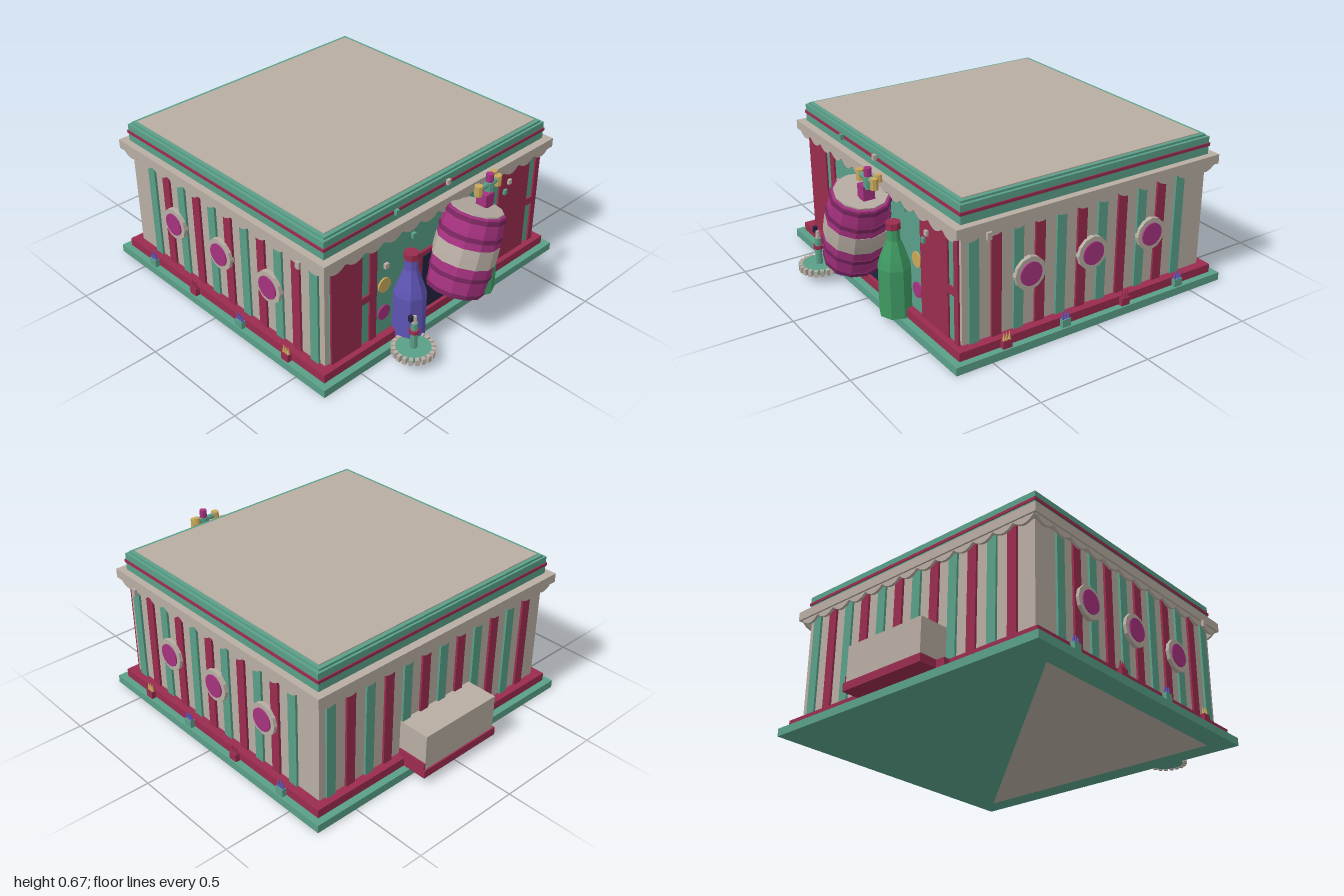
import * as THREE from 'three';

const mat = (name, color, side = THREE.FrontSide) => {
  const m = new THREE.MeshStandardMaterial({ color, side });
  m.name = name;
  return m;
};

export function createModel() {
  const root = new THREE.Group();
  root.name = 'stripedPavilion';
  const cream = mat('cream', 0xb8ada3), green = mat('seaGreen', 0x5a9f89), crimson = mat('crimson', 0x9a2c4e),
    magenta = mat('magenta', 0xa5327f), blue = mat('violetBlue', 0x5f55b5), glass = mat('bottleGreen', 0x3f9a62),
    gold = mat('gold', 0xc9a85a), navy = mat('navy', 0x23233f), plum = mat('plum', 0x7a2560);

  const add = (name, geo, m, x = 0, y = 0, z = 0, parent = root) => {
    const mesh = new THREE.Mesh(geo, m);
    mesh.name = name;
    mesh.position.set(x, y, z);
    parent.add(mesh);
    return mesh;
  };
  // box given by its limits
  const box = (name, m, x0, x1, y0, y1, z0, z1, parent = root) =>
    add(name, new THREE.BoxGeometry(x1 - x0, y1 - y0, z1 - z0), m, (x0 + x1) / 2, (y0 + y1) / 2, (z0 + z1) / 2, parent);
  const slab = (name, m, hx, hz, y0, y1) => box(name, m, -hx, hx, y0, y1, -hz, hz);
  const cyl = (rt, rb, h, n = 12) => {
    const g = new THREE.CylinderGeometry(rt, rb, h, n).toNonIndexed();
    g.computeVertexNormals();
    return g;
  };
  const lathe = (pts, n) => {
    const g = new THREE.LatheGeometry(pts.map(p => new THREE.Vector2(...p)), n).toNonIndexed();
    g.computeVertexNormals();
    return g;
  };

  // plinth, walls and stacked roof
  slab('plinth', green, 0.697, 0.663, 0, 0.035);
  slab('baseStep', crimson, 0.668, 0.632, 0.035, 0.072);
  slab('walls', cream, 0.628, 0.594, 0.072, 0.54);
  slab('cornice', cream, 0.665, 0.635, 0.538, 0.578);
  slab('parapet', green, 0.635, 0.6, 0.578, 0.655);
  slab('parapetBand', crimson, 0.639, 0.604, 0.614, 0.627);
  slab('roofRim', green, 0.622, 0.59, 0.655, 0.664);
  slab('roofDeck', cream, 0.605, 0.572, 0.664, 0.668);
  const under = new THREE.Shape([[0.6, -0.57], [-0.6, -0.57], [-0.6, 0.5]].map(p => new THREE.Vector2(...p)));
  const floor = add('underside', new THREE.ShapeGeometry(under), mat('creamUnderside', 0xb8ada3, THREE.DoubleSide), 0, -0.001, 0);
  floor.rotation.x = -Math.PI / 2;

  // scalloped valance under the cornice
  const scallops = (len) => {
    const n = Math.round(len / 0.1), w = len / n, s = new THREE.Shape();
    s.moveTo(-len / 2, 0);
    for (let i = 0; i < n; i++) {
      const x = -len / 2 + i * w;
      s.quadraticCurveTo(x + w / 2, -0.05, x + w, 0);
    }
    s.lineTo(len / 2, 0.008);
    s.lineTo(-len / 2, 0.008);
    return new THREE.ExtrudeGeometry(s, { depth: 0.012, bevelEnabled: false, curveSegments: 5 });
  };
  for (let i = 0; i < 4; i++) {
    const side = i % 2;
    const v = add('valance', scallops(side ? 1.24 : 1.3), cream);
    const a = i * Math.PI / 2, d = side ? 0.645 : 0.615;
    v.rotation.y = a;
    v.position.set(Math.sin(a) * d, 0.535, Math.cos(a) * d);
  }

  // raised stripes on the sides and back
  for (let i = 0; i < 12; i++) {
    const m = i % 2 ? crimson : green;
    if (i < 11) {
      const z = 0.545 - 0.1 * i;
      for (const s of [-1, 1])
        add('sideStripe', new THREE.BoxGeometry(0.02, 0.466, 0.044), m, s * 0.628, 0.305, z);
    }
    add('backStripe', new THREE.BoxGeometry(0.044, 0.466, 0.02), m, 0.575 - 0.1 * i, 0.305, -0.594);
  }

  // round medallions and small base ornaments on both sides
  for (const s of [-1, 1]) {
    for (const z of [-0.3, 0, 0.3]) {
      add('medallionRing', cyl(0.071, 0.071, 0.02), cream, s * 0.643, 0.302, z).rotation.z = Math.PI / 2;
      add('medallionFace', cyl(0.05, 0.05, 0.008, 16), magenta, s * 0.655, 0.302, z).rotation.z = Math.PI / 2;
    }
    [0.43, 0.15, -0.15, -0.435].forEach((z, i) => {
      add('ornamentBlock', new THREE.BoxGeometry(0.02, 0.034, 0.04), i % 2 ? green : crimson, s * 0.682, 0.054, z);
      for (const k of [-1, 0, 1])
        add('ornamentSpike', cyl(0.001, 0.007, 0.034, 6), [gold, blue, crimson, blue][i], s * 0.682, 0.086, z + k * 0.013);
    });
    add('corniceHook', new THREE.BoxGeometry(0.012, 0.03, 0.02), cream, s * 0.67, 0.523, 0.5);
  }

  // front facade
  box('frontWall', green, -0.606, 0.606, 0.072, 0.538, 0.59, 0.6);
  box('frontPanel', crimson, -0.606, -0.446, 0.072, 0.52, 0.6, 0.608);
  box('frontPost', crimson, -0.403, -0.366, 0.072, 0.535, 0.6, 0.608);
  box('frontRail', crimson, -0.446, -0.403, 0.272, 0.304, 0.6, 0.608);
  box('frontPanel', crimson, 0.357, 0.553, 0.072, 0.52, 0.6, 0.608);
  box('frontPost', crimson, 0.596, 0.624, 0.072, 0.535, 0.6, 0.608);
  box('frontRail', crimson, 0.553, 0.596, 0.272, 0.304, 0.6, 0.608);
  box('doorFrame', crimson, -0.135, 0.13, 0.072, 0.36, 0.6, 0.612);
  box('doorway', navy, -0.113, 0.108, 0.072, 0.34, 0.612, 0.616);
  for (const s of [-1, 1]) {
    add('upperDot', cyl(0.033, 0.033, 0.008, 16), gold, s * 0.32, 0.304, 0.603).rotation.x = Math.PI / 2;
    add('lowerDot', cyl(0.033, 0.033, 0.008, 16), magenta, s * 0.32, 0.17, 0.603).rotation.x = Math.PI / 2;
  }
  // scattered studs
  [[-0.32, 0.4, cream], [-0.17, 0.47, green], [0.255, 0.5, green], [0.415, 0.46, cream], [-0.21, 0.4, crimson],
    [0.02, 0.63, cream], [-0.27, 0.622, green], [0.39, 0.42, green]].forEach(([x, y, m]) =>
    add('stud', new THREE.BoxGeometry(0.018, 0.022, 0.014), m, x, y, 0.612));

  // rear bench
  box('benchBase', crimson, -0.21, 0.21, 0.035, 0.07, -0.742, -0.63);
  box('benchBody', cream, -0.2, 0.2, 0.07, 0.228, -0.735, -0.59);
  box('benchTrim', crimson, 0.2, 0.208, 0.07, 0.1, -0.735, -0.6);
  box('benchFoot', crimson, -0.25, -0.2, 0.035, 0.07, -0.66, -0.63);

  // bottles
  const bottle = (name, m, x, z, r) => {
    const g = new THREE.Group();
    g.name = name;
    g.position.set(x, 0.036, z);
    root.add(g);
    add('bottleGlass', lathe([[0, 0], [r, 0], [r, 0.21], [r * 0.85, 0.245], [0.028, 0.325], [0.026, 0.375], [0, 0.375]], 8), m, 0, 0, 0, g);
    add('bottleCap', cyl(0.031, 0.031, 0.028, 8), crimson, 0, 0.386, 0, g);
  };
  bottle('blueBottle', blue, -0.222, 0.65, 0.067);
  bottle('greenBottle', glass, 0.215, 0.645, 0.07);

  // tilted barrel with hoops and tap
  const barrel = new THREE.Group();
  barrel.name = 'barrel';
  barrel.position.set(0.03, 0.362, 0.71);
  barrel.rotation.z = -0.31;
  root.add(barrel);
  const R = y => 0.13 - 0.45 * y * y;
  const stave = (name, y0, y1, m, out = 0) => add(name, lathe([[0, y0], [R(y0) + out, y0],
    [R((y0 + y1) / 2) + out, (y0 + y1) / 2], [R(y1) + out, y1], [0, y1]], 12), m, 0, 0, 0, barrel);
  stave('barrelLower', -0.17, -0.04, magenta);
  stave('barrelBand', -0.04, 0.04, cream, 0.002);
  stave('barrelUpper', 0.04, 0.17, magenta);
  for (const y of [-0.165, -0.09, 0.08, 0.155]) stave('barrelHoop', y - 0.009, y + 0.009, plum, 0.004);
  add('barrelLid', cyl(0.108, 0.108, 0.006), cream, 0, 0.176, 0, barrel);
  box('tapBase', magenta, 0.105, 0.155, 0.52, 0.58, 0.685, 0.735);
  add('tapStem', cyl(0.02, 0.02, 0.05, 8), green, 0.15, 0.595, 0.71);
  add('tapKnob', cyl(0.016, 0.016, 0.035, 8), magenta, 0.15, 0.638, 0.71);
  add('tapPipe', cyl(0.012, 0.012, 0.12, 8), green, 0.14, 0.61, 0.71).rotation.z = Math.PI / 2;
  for (const x of [0.085, 0.2]) add('tapEnd', cyl(0.017, 0.017, 0.045, 8), gold, x, 0.605, 0.71);
  add('tapNozzle', cyl(0.014, 0.014, 0.03, 8), gold, 0.2, 0.625, 0.69);

  // toothed wheel with post
  const gx = -0.29, gz = 0.74;
  add('wheel', cyl(0.075, 0.075, 0.022, 20), green, gx, 0.05, gz);
  for (let i = 0; i < 20; i++) {
    const a = i / 20 * Math.PI * 2;
    const t = add('wheelTooth', new THREE.BoxGeometry(0.016, 0.027, 0.018), cream, gx + Math.sin(a) * 0.08, 0.05, gz + Math.cos(a) * 0.08);
    t.rotation.y = a;
  }
  add('wheelPost', cyl(0.014, 0.016, 0.12, 8), green, gx, 0.12, gz);
  add('postCollar', cyl(0.022, 0.022, 0.015, 8), crimson, gx, 0.14, gz);
  add('postTip', cyl(0.008, 0.012, 0.035, 6), cream, gx, 0.195, gz);
  box('postFinial', navy, gx - 0.03, gx - 0.015, 0.2, 0.225, gz - 0.008, gz + 0.008);

  return root;
}
